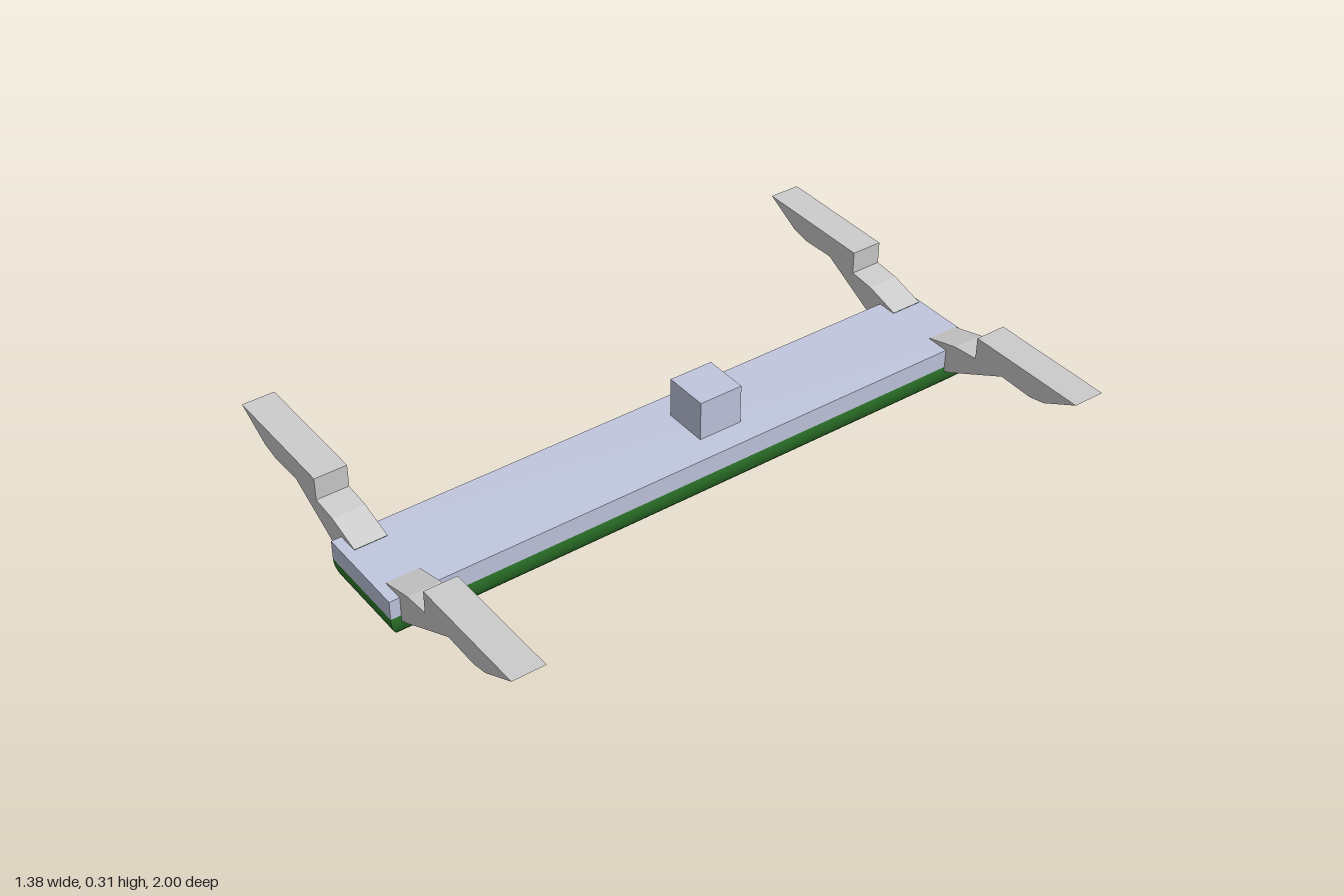
import * as THREE from 'three';

const slate = new THREE.MeshStandardMaterial({ color: 0xc0c6de });
const green = new THREE.MeshStandardMaterial({ color: 0x2f7a2c });
const grey = new THREE.MeshStandardMaterial({ color: 0xcccccc });

const HALF_W = 0.148, HALF_L = 0.996, KEEL_H = 0.12;

function add(parent, name, geometry, material, x = 0, y = 0, z = 0) {
  const mesh = new THREE.Mesh(geometry, material);
  mesh.name = name;
  mesh.position.set(x, y, z);
  parent.add(mesh);
  return mesh;
}

// Rounded underside: rectangular rings shrinking along a quarter circle,
// smooth from ring to ring with mitred corners.
function keelGeometry() {
  const steps = 14, r = 0.115, pos = [], nor = [], idx = [];
  const corners = [[1, 1], [1, -1], [-1, -1], [-1, 1]];
  for (let side = 0; side < 4; side++) {
    const a = corners[side], b = corners[(side + 1) % 4];
    const nx = (a[0] + b[0]) / 2, nz = (a[1] + b[1]) / 2;
    const base = pos.length / 3;
    for (let i = 0; i <= steps; i++) {
      const t = (i / steps) * Math.PI / 2;
      const inset = r * (1 - Math.cos(t)), y = KEEL_H * (1 - Math.sin(t));
      for (const c of [a, b]) {
        pos.push(c[0] * (HALF_W - inset), y, c[1] * (HALF_L - inset));
        nor.push(nx * Math.cos(t), -Math.sin(t), nz * Math.cos(t));
      }
      if (i < steps) {
        const k = base + i * 2;
        idx.push(k, k + 2, k + 1, k + 1, k + 2, k + 3);
      }
    }
  }
  // flat bottom
  const base = pos.length / 3;
  for (const c of corners) {
    pos.push(c[0] * (HALF_W - r), 0, c[1] * (HALF_L - r));
    nor.push(0, -1, 0);
  }
  idx.push(base, base + 2, base + 1, base, base + 3, base + 2);
  const g = new THREE.BufferGeometry();
  g.setAttribute('position', new THREE.Float32BufferAttribute(pos, 3));
  g.setAttribute('normal', new THREE.Float32BufferAttribute(nor, 3));
  g.setIndex(idx);
  return g;
}

// Stepped arm: extruded outline, downward faces take the second material.
function armGeometry(side) {
  const outline = [
    [0.08, 0.182], [0.12, 0.09], [0.18, 0.115], [0.385, 0.222], [0.5, 0.219],
    [0.555, 0.231], [0.673, 0.294], [0.274, 0.292], [0.274, 0.221], [0.19, 0.213],
  ];
  const shape = new THREE.Shape(outline.map(([x, y]) => new THREE.Vector2(side * x, y)));
  const g = new THREE.ExtrudeGeometry(shape, { depth: 0.1, bevelEnabled: false });
  g.translate(0, 0, -0.05);
  const n = g.getAttribute('normal');
  g.clearGroups();
  for (let i = 0; i < n.count; i += 3) g.addGroup(i, 3, n.getY(i) < -0.05 ? 1 : 0);
  return g;
}

export function createModel() {
  const model = new THREE.Group();
  model.name = 'model';
  const craft = new THREE.Group();
  craft.name = 'craft';
  model.add(craft);

  add(craft, 'keel', keelGeometry(), green);
  add(craft, 'deck', new THREE.BoxGeometry(HALF_W * 2, 0.06, HALF_L * 2), slate, 0, KEEL_H + 0.03, 0);
  add(craft, 'cabin', new THREE.BoxGeometry(0.14, 0.13, 0.14), slate, 0, 0.24, -0.118);

  // Four arms, one pair near each end
  for (const [end, z] of [['front', 0.915], ['back', -0.938]]) {
    for (const [name, side] of [['Left', 1], ['Right', -1]]) {
      const shift = end === 'back' ? -0.005 : 0;
      add(craft, end + name + 'Arm', armGeometry(side), [grey, green], shift, 0, z);
    }
  }

  // Slight heading and roll
  craft.rotation.set(0, 0.0175, -0.0133);
  return model;
}
